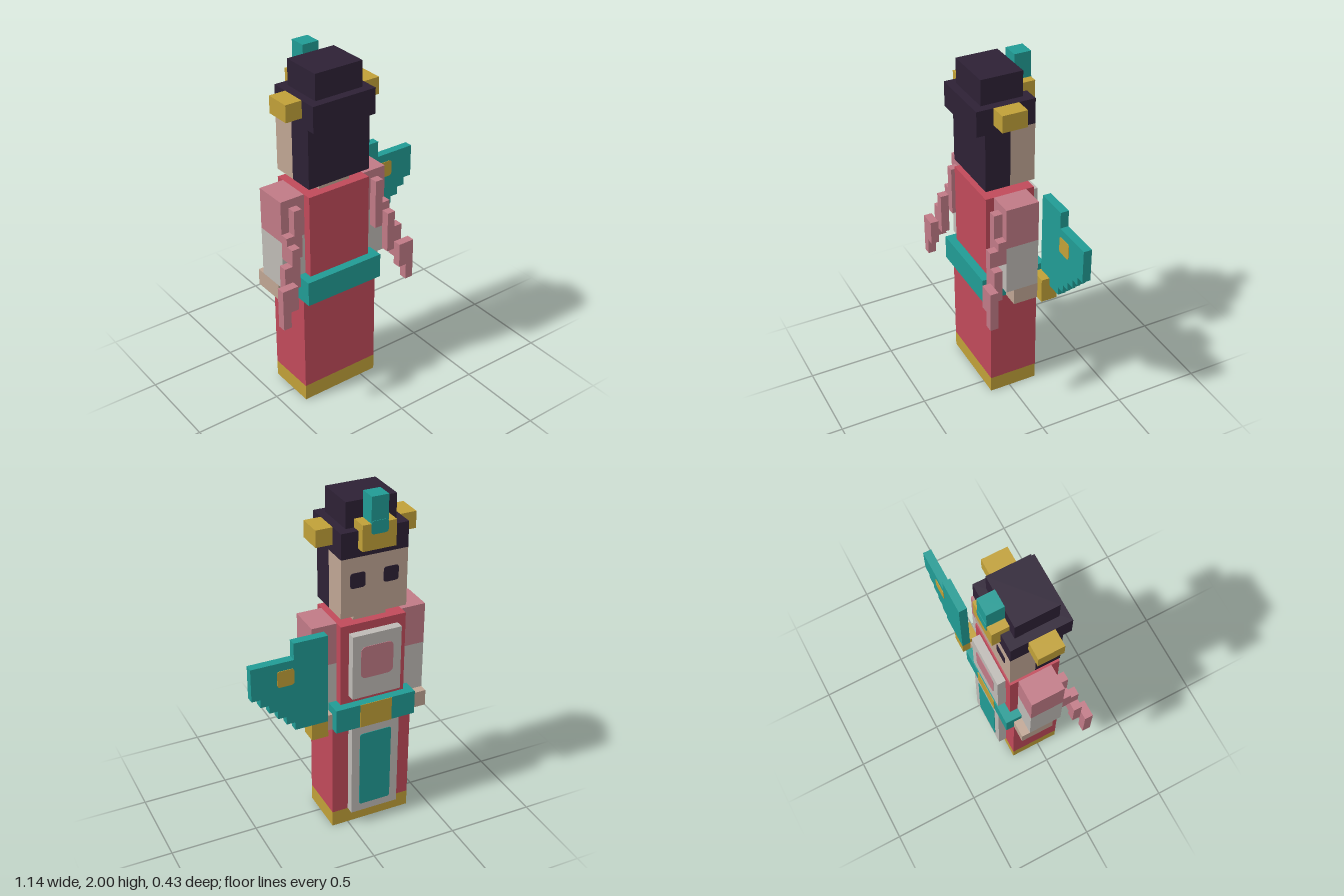
import * as THREE from 'three';

const U = 2 / 42; // one block of the grid

export function createModel() {
  const group = new THREE.Group();
  group.name = 'robedFigureWithFan';

  const mat = (name, color) => {
    const m = new THREE.MeshStandardMaterial({ color });
    m.name = name;
    return m;
  };
  const red = mat('robeRed', 0xc04a5a);
  const teal = mat('teal', 0x219b94);
  const gold = mat('gold', 0xc0a038);
  const dark = mat('hairDark', 0x2d2135);
  const skin = mat('skin', 0xbfa593);
  const pink = mat('ribbonPink', 0xc07a86);
  const pale = mat('paleCloth', 0xbebab5);

  // Box given by its limits in blocks
  const box = (name, m, x0, x1, y0, y1, z0, z1) => {
    const mesh = new THREE.Mesh(new THREE.BoxGeometry((x1 - x0) * U, (y1 - y0) * U, (z1 - z0) * U), m);
    mesh.position.set((x0 + x1) / 2 * U, (y0 + y1) / 2 * U, (z0 + z1) / 2 * U);
    mesh.name = name;
    group.add(mesh);
  };

  // Flat outline in blocks, extruded from z0 to z1
  const slab = (name, m, pts, z0, z1) => {
    const shape = new THREE.Shape(pts.map(([x, y]) => new THREE.Vector2(x * U, y * U)));
    const geo = new THREE.ExtrudeGeometry(shape, { depth: (z1 - z0) * U, bevelEnabled: false });
    geo.translate(0, 0, z0 * U);
    const mesh = new THREE.Mesh(geo, m);
    mesh.name = name;
    group.add(mesh);
  };

  // Thin painted plate with softened corners, centred on plane z
  const decal = (name, m, x0, x1, y0, y1, z, r = 0.3) => {
    const pts = [];
    const corners = [[x1 - r, y1 - r], [x0 + r, y1 - r], [x0 + r, y0 + r], [x1 - r, y0 + r]];
    corners.forEach(([cx, cy], i) => {
      for (let k = 0; k <= (r ? 3 : 0); k++) {
        const a = (i + k / 3) * Math.PI / 2;
        pts.push([cx + r * Math.cos(a), cy + r * Math.sin(a)]);
      }
    });
    slab(name, m, pts, z - 0.06, z + 0.06);
  };

  // Robe
  box('hem', gold, -8, 2, 0, 2, -3.5, 2.5);
  box('skirt', red, -8, 2, 2, 14, -3.5, 2.5);
  box('sash', teal, -8, 2, 14, 17, -4.5, 3.5);
  decal('sashBuckle', gold, -5, -1, 14, 17, -4.5, 0);
  box('torso', red, -7, 1, 17, 27, -3.5, 2.5);
  box('apron', pale, -6, 0, 2, 14, -4.5, -3.5);
  decal('apronPanel', teal, -5, -1, 3, 13, -4.5);
  box('chestPanel', pale, -6, 0, 18, 26, -4.5, -3.5);
  decal('chestPatch', pink, -5, -1, 20.5, 24.5, -4.5, 0.6);

  // Arms and trailing ribbons, mirrored about the body's middle
  for (const s of [-1, 1]) {
    const X = (d) => -3 + s * d;
    const sideBox = (name, m, d0, d1, ...rest) =>
      box(name, m, Math.min(X(d0), X(d1)), Math.max(X(d0), X(d1)), ...rest);
    const side = s > 0 ? 'left' : 'right';
    sideBox(side + 'Shoulder', pink, 4, 7, 22, 27, -2.5, 1.5);
    sideBox(side + 'Sleeve', pale, 4, 7, 16, 22, -2.5, 1.5);
    sideBox(side + 'Hand', skin, 5, 7, 14, 16, -3.5, 0.5);
    sideBox(side + 'Hairpin', gold, 4, 6, 36, 38, -1.5, 1.5);

    const ribbon = [
      [[5, 20], [7, 20], [7, 23], [6, 23], [6, 26], [5, 26]],
      [[6, 17], [7, 17], [7, 16], [8, 16], [8, 20], [7, 20], [7, 22], [6, 22]],
      [[7, 15], [8, 15], [8, 13], [9, 13], [9, 18], [7, 18]],
    ];
    ribbon.forEach((pts, i) =>
      slab(side + 'Ribbon' + (i + 1), pink, pts.map(([d, y]) => [X(d), y]), 1.5 + i, 2.5 + i));
  }

  // Head and hair
  box('neck', skin, -5, -1, 27, 28, -2.5, 1.5);
  box('face', skin, -7, 1, 28, 35, -3.5, -0.5);
  box('backHair', dark, -7, 1, 28, 35, -0.5, 2.5);
  box('hairCap', dark, -7, 1, 35, 38, -3.5, 3.5);
  box('hairBun', dark, -6, 0, 38, 41, -2.5, 2.5);
  for (const x of [-5, -1]) decal('eye', dark, x - 0.9, x + 0.9, 31.4, 33.2, -3.5);

  // Crown
  box('crownBase', gold, -5, -1, 36, 39, -4.5, -2.5);
  box('crownJewel', teal, -4, -2, 39, 42, -4.5, -2.5);
  decal('crownJewelTip', teal, -4, -2, 37.8, 39.3, -4.5);

  // Fan with stepped lower edge
  const fan = [[3, 16], [7, 16]];
  for (let i = 0; i < 5; i++) fan.push([7 + i, 17 + i], [8 + i, 17 + i]);
  fan.push([12, 25], [7, 25], [7, 27], [3, 27]);
  slab('fan', teal, fan, -4.5, -3.5);
  for (const z of [-4.5, -3.5]) decal('fanJewel', gold, 7, 9, 22, 24, z);
  box('fanHandle', gold, 3, 5, 13.97, 17, -3.5, -2.5);
  box('fanHandleTip', gold, 3, 5, 13.97, 16, -4.5, -3.5);

  return group;
}
